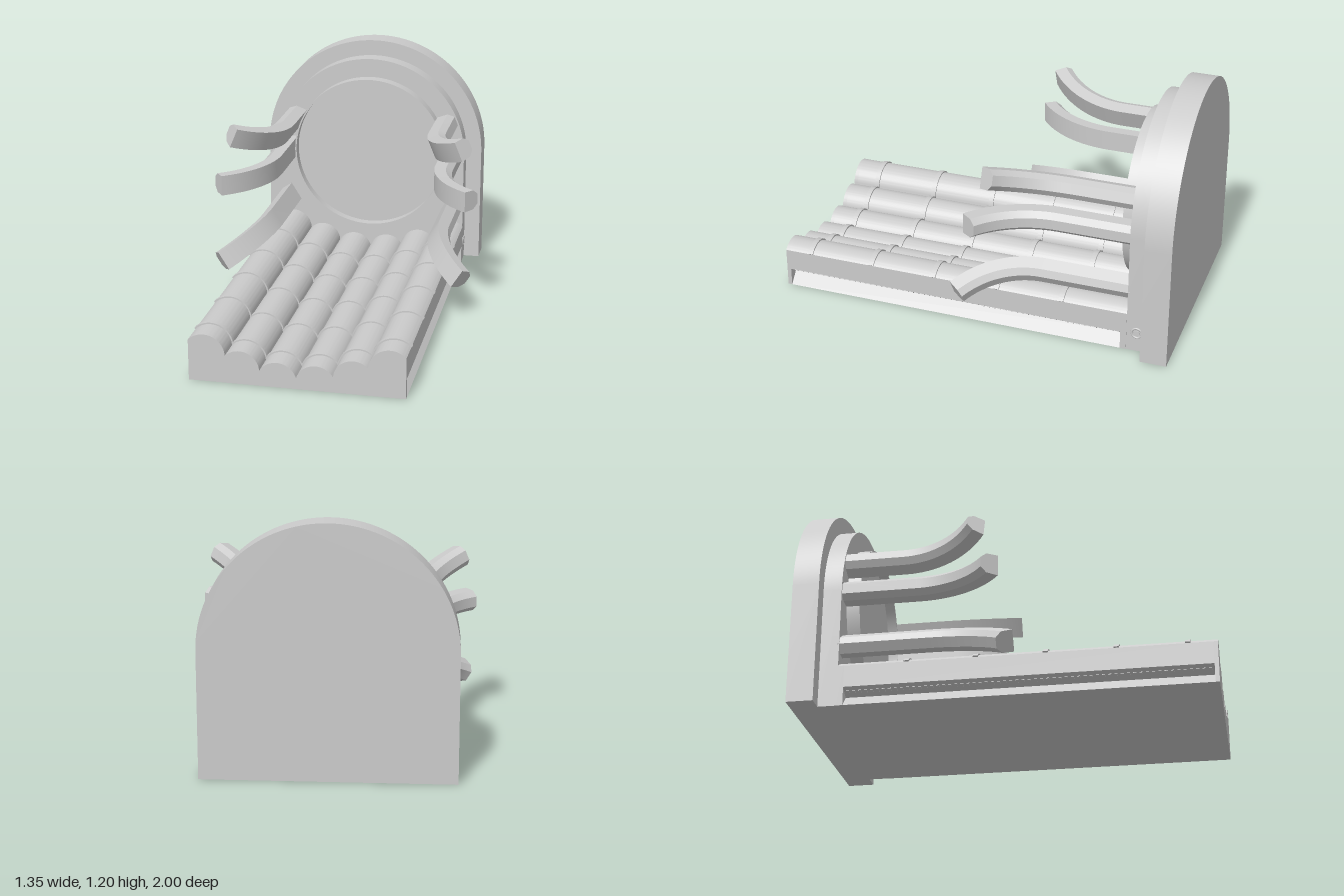
import * as THREE from 'three';
import { toCreasedNormals } from 'three/addons/utils/BufferGeometryUtils.js';

const CY = 0.605; // height of the arch and disc centre
const material = new THREE.MeshStandardMaterial({ color: 0xcccccc });

function add(parent, name, geometry, x = 0, y = 0, z = 0) {
  const mesh = new THREE.Mesh(geometry, material);
  mesh.name = name;
  mesh.position.set(x, y, z);
  parent.add(mesh);
  return mesh;
}

// Extrudes a shape from z0 to z1
function slab(shape, z0, z1, curveSegments = 16) {
  const g = new THREE.ExtrudeGeometry(shape, { depth: z1 - z0, bevelEnabled: false, curveSegments });
  return toCreasedNormals(g.translate(0, 0, z0), 0.5);
}

function archShape(r) {
  const s = new THREE.Shape();
  s.moveTo(-r, 0);
  s.lineTo(r, 0);
  s.lineTo(r, CY);
  s.absarc(0, CY, r, 0, Math.PI, false);
  s.closePath();
  return s;
}

// Six humps, right to left, each an arc between two neighbouring valleys
const half = [[0.51, 0.2], [0.335, 0.135], [0.173, 0.075], [0, 0.055]];
const valleys = [...half, ...half.slice(0, 3).reverse().map(([x, y]) => [-x, y])];
const humps = valleys.slice(1).map((b, i) => {
  const a = valleys[i];
  const dx = b[0] - a[0], dy = b[1] - a[1], len = Math.hypot(dx, dy);
  const r = len / 2 + 0.008;
  const drop = Math.sqrt(r * r - len * len / 4);
  const x = (a[0] + b[0]) / 2 - dy / len * drop;
  const y = (a[1] + b[1]) / 2 + dx / len * drop;
  const cx = x + 2 * (dy / len) * drop - dy / len * drop * 2;
  return {
    x: cx, y: y, r,
    a0: Math.atan2(a[1] - y, a[0] - cx),
    a1: Math.atan2(b[1] - y, b[0] - cx),
  };
}).map((h) => (h.a1 < h.a0 ? { ...h, a1: h.a1 + 2 * Math.PI } : h));

// Scalloped cross-section of the bed, with an optional V groove in each side
function bedShape(grooved) {
  const s = new THREE.Shape();
  s.moveTo(-0.51, 0);
  s.lineTo(0.51, 0);
  if (grooved) { s.lineTo(0.455, 0.058); s.lineTo(0.51, 0.092); }
  s.lineTo(0.51, 0.2);
  for (const h of humps) s.absarc(h.x, h.y, h.r, h.a0, h.a1, false);
  if (grooved) { s.lineTo(-0.51, 0.092); s.lineTo(-0.455, 0.058); }
  s.closePath();
  return s;
}

// Arm swept from a straight run into an outward bend; x is radial, y tangential
function armGeometry(r0, tipZ) {
  const profile = [[-0.045, 0.052], [-0.045, -0.052], [0.015, -0.05], [0.045, -0.025], [0.045, 0.025], [0.015, 0.05]];
  const R = 0.473, bend = 0.94, steps = 16, n = profile.length;
  const z0 = tipZ - R * Math.sin(bend);
  const rings = [[r0, -0.79, 0]];
  for (let i = 0; i <= steps; i++) {
    const t = bend * i / steps;
    rings.push([r0 + R * (1 - Math.cos(t)), z0 + R * Math.sin(t), t]);
  }
  const pos = [], idx = [];
  for (const [x, z, t] of rings)
    for (const [u, v] of profile) pos.push(x + u * Math.cos(t), v, z - u * Math.sin(t));
  for (let i = 0; i < rings.length - 1; i++)
    for (let j = 0; j < n; j++) {
      const a = i * n + j, b = i * n + (j + 1) % n;
      idx.push(a, b, b + n, a, b + n, a + n);
    }
  const last = (rings.length - 1) * n;
  for (let j = 1; j < n - 1; j++) idx.push(0, j + 1, j, last, last + j, last + j + 1);
  const g = new THREE.BufferGeometry();
  g.setAttribute('position', new THREE.Float32BufferAttribute(pos, 3));
  g.setIndex(idx);
  return toCreasedNormals(g, 0.4);
}

export function createModel() {
  const model = new THREE.Group();
  model.name = 'bedPod';

  // Stepped arched headboard
  add(model, 'backPlate', slab(archShape(0.59), -1, -0.87, 40));
  add(model, 'frontPlate', slab(archShape(0.508), -0.87, -0.78, 40));

  // Round panel with a thin raised rim
  const rim = new THREE.Shape().absarc(0, CY, 0.41, 0, Math.PI * 2, false);
  rim.holes.push(new THREE.Path().absarc(0, CY, 0.402, 0, Math.PI * 2, true));
  add(model, 'panelRim', slab(rim, -0.78, -0.715, 48));
  const panel = new THREE.Shape().absarc(0, CY, 0.404, 0, Math.PI * 2, false);
  add(model, 'panel', slab(panel, -0.78, -0.765, 48));

  // Scalloped bed with solid ends
  add(model, 'bed', slab(bedShape(true), -0.75, 0.98));
  add(model, 'bedFoot', slab(bedShape(false), 0.98, 1));
  add(model, 'bedHead', slab(bedShape(false), -0.78, -0.75));

  // Raised bands across the humps
  const bands = new THREE.Group();
  bands.name = 'bands';
  model.add(bands);
  for (const h of humps) {
    const s = new THREE.Shape();
    s.absarc(h.x, h.y, h.r + 0.007, h.a0, h.a1, false);
    s.absarc(h.x, h.y, h.r - 0.005, h.a1, h.a0, true);
    s.closePath();
    const g = slab(s, -0.0125, 0.0125);
    for (let i = 0; i < 5; i++) add(bands, 'band', g, 0, 0, 0.864 - i * 0.329);
  }

  // Row of small studs under the lip of each side groove
  const stud = new THREE.BoxGeometry(0.016, 0.006, 0.014);
  for (const side of [1, -1]) {
    const strip = new THREE.Group();
    strip.name = side > 0 ? 'leftStudStrip' : 'rightStudStrip';
    model.add(strip);
    for (let i = 0; i < 60; i++) {
      const m = add(strip, 'stud', stud, side * 0.485, 0.075, 0.96 - i * 0.0287);
      m.rotation.z = side * Math.atan2(0.034, 0.055);
    }
  }

  // Three curved arms on each side, radial to the panel: angle, radius, tip z
  for (const [name, deg, r, tipZ] of [
    ['upperArm', 22.5, 0.455, -0.11],
    ['middleArm', 0.5, 0.455, -0.035],
    ['lowerArm', -32, 0.54, 0.035],
  ]) {
    const g = armGeometry(r, tipZ);
    const a = THREE.MathUtils.degToRad(deg);
    add(model, name + 'Left', g, 0, CY, 0).rotation.z = a;
    add(model, name + 'Right', g, 0, CY, 0).rotation.z = Math.PI - a;
  }

  // Round button on the left side of the headboard
  const ring = add(model, 'buttonRing', new THREE.TorusGeometry(0.025, 0.005, 8, 24), 0.508, 0.1, -0.83);
  ring.rotation.y = Math.PI / 2;
  const cap = add(model, 'button', new THREE.CylinderGeometry(0.014, 0.014, 0.008, 20), 0.508, 0.1, -0.83);
  cap.rotation.z = Math.PI / 2;

  return model;
}
